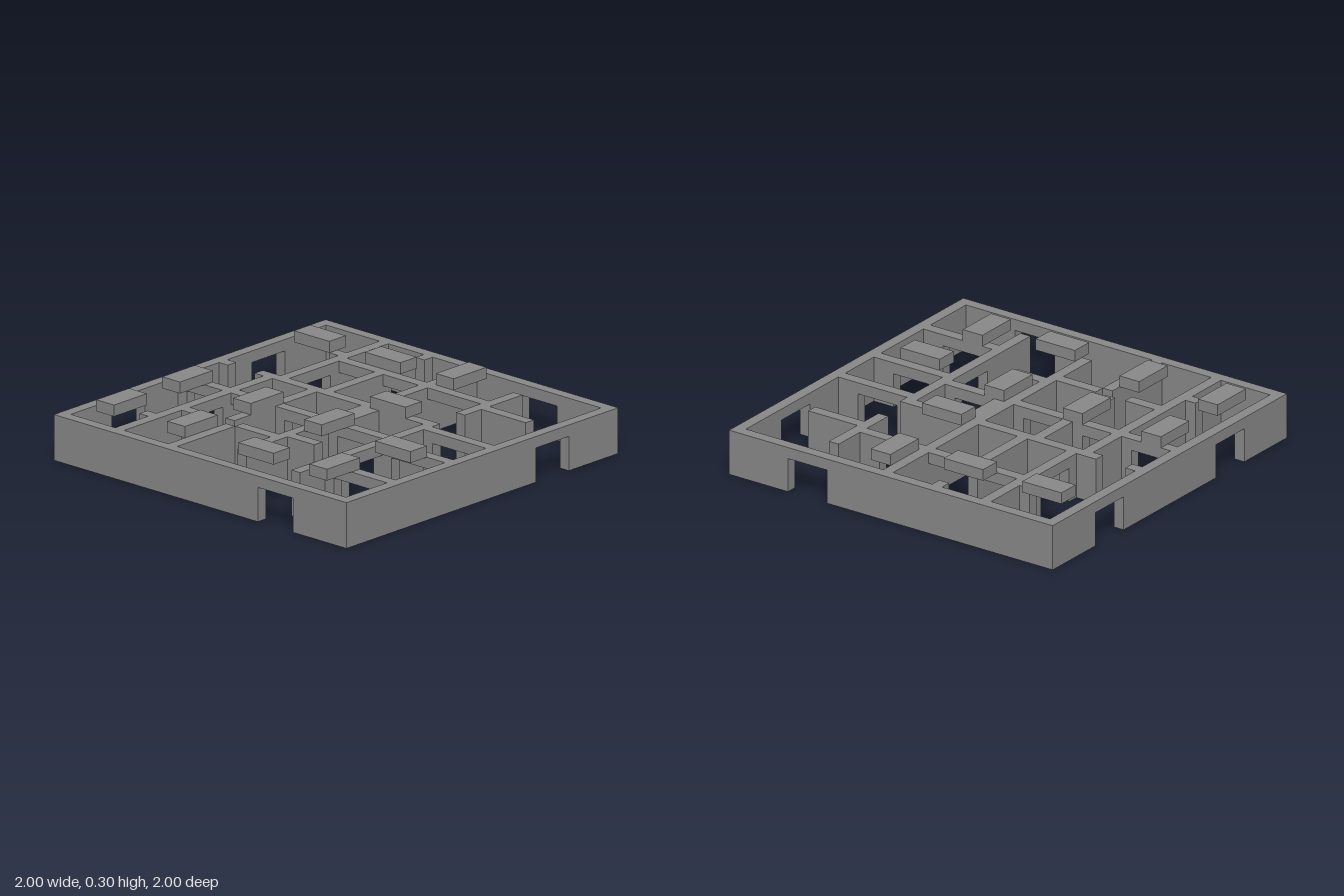
import * as THREE from 'three';

// Everything sits on a square plan of 33 x 33 cells.
const CELLS = 33, U = 2 / CELLS;
const WALL_H = 4, DOOR_H = 3, BEAM_H = 1;

export function createModel() {
  const model = new THREE.Group();
  model.name = 'floorPlan';
  const stone = new THREE.MeshStandardMaterial({ color: 0x888888 });
  stone.name = 'grey';

  // Box covering cells x0..x1 and z0..z1 (inclusive), from level y0 up to y1
  function block(parent, name, x0, x1, z0, z1, y0, y1) {
    const w = x1 - x0 + 1, d = z1 - z0 + 1;
    const mesh = new THREE.Mesh(new THREE.BoxGeometry(w * U, (y1 - y0) * U, d * U), stone);
    mesh.name = name;
    mesh.position.set(-1 + (x0 + w / 2) * U, (y0 + y1) / 2 * U, -1 + (z0 + d / 2) * U);
    parent.add(mesh);
  }

  // One-cell-thick wall along x or z; each door is a [first, last] cell range under a lintel
  function wall(parent, name, axis, line, from, to, doors = []) {
    const piece = (n, a, b, y0) => {
      if (b < a) return;
      if (axis === 'x') block(parent, n, a, b, line, line, y0, WALL_H);
      else block(parent, n, line, line, a, b, y0, WALL_H);
    };
    let start = from;
    for (const [a, b] of doors) {
      piece(name, start, a - 1, 0);
      piece(name + 'Lintel', a, b, DOOR_H);
      start = b + 1;
    }
    piece(name, start, to, 0);
  }

  const group = (name) => {
    const g = new THREE.Group();
    g.name = name;
    model.add(g);
    return g;
  };

  // Outer walls with entrances
  const outer = group('outerWalls');
  wall(outer, 'backWall', 'x', 0, 0, 32, [[6, 9], [23, 26]]);
  wall(outer, 'frontWall', 'x', 32, 0, 32, [[23, 26]]);
  wall(outer, 'rightWall', 'z', 0, 1, 31, [[23, 26]]);
  wall(outer, 'leftWall', 'z', 32, 1, 31, [[23, 26]]);

  // Partitions: axis, line, first cell, last cell, doors
  const inner = group('partitions');
  [
    ['x', 6, 1, 13, [[9, 12]]],
    ['x', 6, 15, 18],
    ['x', 7, 20, 31, [[21, 24]]],
    ['x', 11, 9, 13],
    ['x', 11, 15, 18],
    ['x', 12, 1, 7],
    ['x', 12, 20, 25],
    ['x', 12, 31, 31],
    ['x', 17, 4, 13],
    ['x', 17, 15, 18],
    ['x', 17, 20, 25],
    ['x', 17, 27, 31],
    ['x', 18, 15, 18],
    ['x', 24, 3, 18, [[9, 12]]],
    ['x', 24, 23, 29],
    ['z', 5, 5, 5],
    ['z', 6, 25, 31, [[26, 29]]],
    ['z', 8, 7, 9],
    ['z', 8, 13, 16],
    ['z', 9, 18, 20],
    ['z', 13, 25, 31, [[26, 29]]],
    ['z', 14, 1, 23, [[2, 4], [7, 9], [13, 15], [19, 22]]],
    ['z', 18, 25, 31, [[26, 29]]],
    ['z', 19, 1, 1],
    ['z', 19, 5, 24],
    ['z', 25, 25, 29],
    ['z', 26, 8, 23, [[8, 11], [13, 16], [18, 21]]],
    ['z', 27, 6, 6],
  ].forEach(([axis, line, a, b, doors]) => wall(inner, 'partition', axis, line, a, b, doors));

  // Beams lying level with the wall tops: x, z, and whether they run along x
  const beams = group('beams');
  [
    [3, 2, true], [11, 2, true], [27, 2, false],
    [3, 10, true], [11, 10, true], [27, 10, false],
    [3, 18, false], [11, 18, true], [19, 18, false], [27, 18, true],
    [3, 26, true], [11, 26, false],
  ].forEach(([x, z, alongX]) =>
    block(beams, 'beam', x, x + (alongX ? 3 : 1), z, z + (alongX ? 1 : 3), WALL_H, WALL_H + BEAM_H));

  return model;
}
